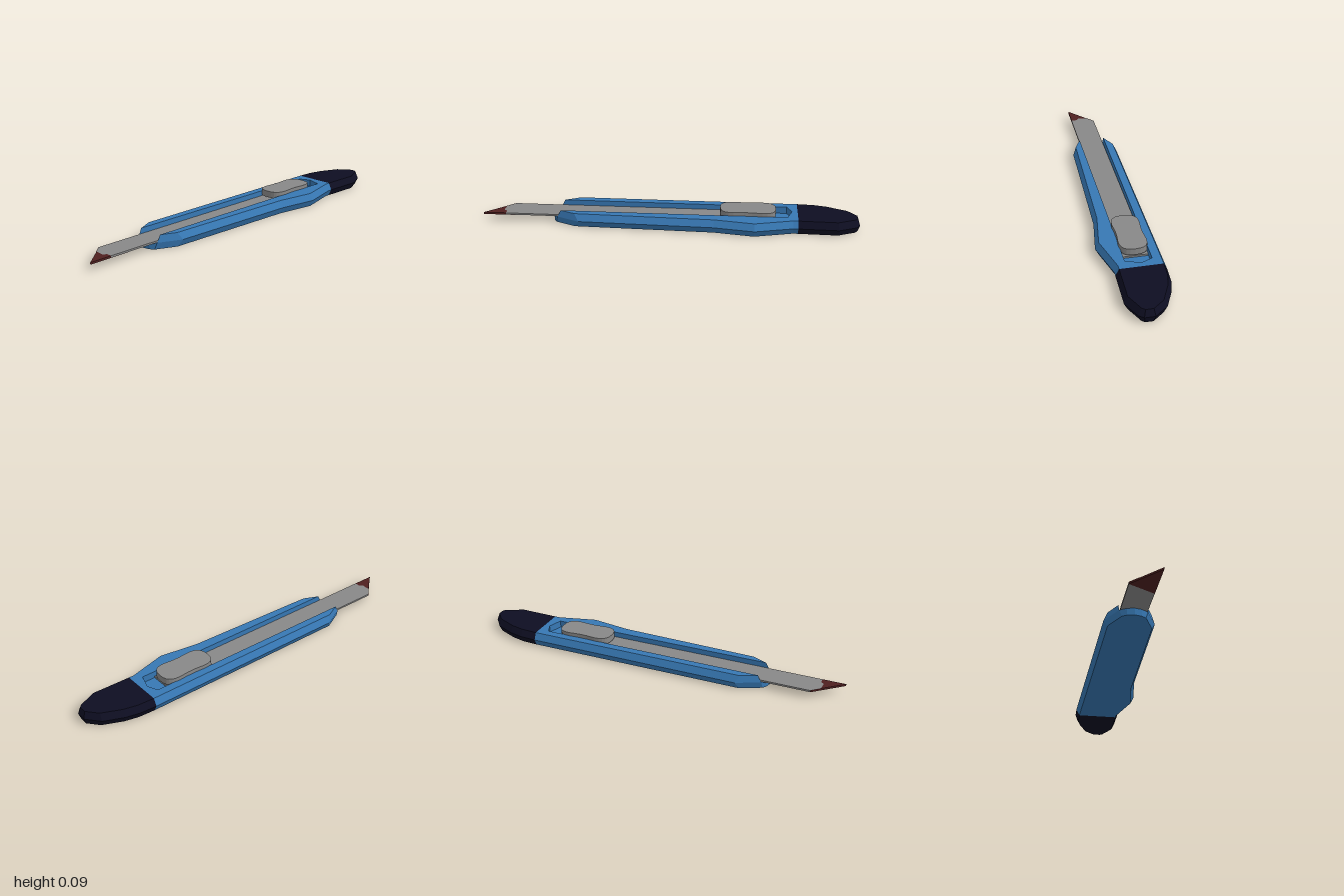
import * as THREE from 'three';

const paint = (name, color) => {
  const m = new THREE.MeshStandardMaterial({ color });
  m.name = name;
  return m;
};

// Move every edge of an outline inward by its own inset (third value of its first point).
function insetOutline(points) {
  const n = points.length;
  const edges = points.map(([x, z, d = 0], i) => {
    const [x2, z2] = points[(i + 1) % n];
    const dx = x2 - x, dv = z - z2, len = Math.hypot(dx, dv);
    const nx = -dv / len, nv = dx / len;
    return { nx, nv, d, c: nx * x - nv * z + d };
  });
  return points.map(([x, z], i) => {
    const a = edges[(i + n - 1) % n], b = edges[i];
    const det = a.nx * b.nv - a.nv * b.nx;
    if (Math.abs(det) < 1e-4) return [x + b.nx * b.d, z - b.nv * b.d];
    return [(a.c * b.nv - b.c * a.nv) / det, -(a.nx * b.c - b.nx * a.c) / det];
  });
}

// Flat-shaded solid through a stack of [y, outline] rings, counter-clockwise from above.
function loft(rings) {
  const pos = [];
  const put = ([y, o], i) => pos.push(o[i][0], y, o[i][1]);
  for (let r = 0; r + 1 < rings.length; r++) {
    const a = rings[r], b = rings[r + 1], n = a[1].length;
    for (let i = 0; i < n; i++) {
      const j = (i + 1) % n;
      put(a, i); put(a, j); put(b, j);
      put(a, i); put(b, j); put(b, i);
    }
  }
  const cap = (ring, flip) => {
    const contour = ring[1].map(([x, z]) => new THREE.Vector2(x, -z));
    for (const f of THREE.ShapeUtils.triangulateShape(contour, []))
      (flip ? [f[2], f[1], f[0]] : f).forEach((i) => put(ring, i));
  };
  cap(rings[0], true);
  cap(rings[rings.length - 1], false);
  const g = new THREE.BufferGeometry();
  g.setAttribute('position', new THREE.Float32BufferAttribute(pos, 3));
  g.computeVertexNormals();
  return g;
}

export function createModel() {
  const blue = paint('handle blue', 0x3778b4);
  const navy = paint('end cap navy', 0x0e0e22);
  const grey = paint('steel grey', 0x888888);
  const red = paint('edge dark red', 0x4f2020);

  const model = new THREE.Group();
  model.name = 'utilityKnife';
  const add = (name, material, rings) => {
    const mesh = new THREE.Mesh(loft(rings), material);
    mesh.name = name;
    model.add(mesh);
  };
  const slab = (name, material, outline, y0, y1) => add(name, material, [[y0, outline], [y1, outline]]);

  const MID = 0.036, TOP = 0.073, B = 0.018, T = 0.008, SEAM = -0.675;

  // Handle: outer side shared by the lower shell and the slotted upper shell
  const rightSide = [
    [0.045, 0.6, T], [0.1, 0.48, B], [0.12, -0.235, B], [0.153, -0.447, B],
    [0.1, -0.65, B], [0.1, SEAM, 0], [-0.153, SEAM, B],
  ];
  const leftFront = [[-0.153, 0.48, T], [-0.095, 0.6, 0]];
  const lower = [...leftFront, [-0.06, 0.622], [-0.025, 0.63], [0.01, 0.622], ...rightSide];
  const upper = [...leftFront, [-0.091, -0.62], [-0.035, -0.645], [0.043, -0.62], ...rightSide];
  add('handleLower', blue, [[0, insetOutline(lower)], [MID, lower]]);
  add('handleUpper', blue, [[MID, upper], [TOP, insetOutline(upper)]]);

  // Rounded end cap with the same bevelled rim
  const capOutline = [
    [-0.153, SEAM, 0], [0.1, SEAM, B], [0.105, -0.885, B], [0.063, -0.976, 0.014],
    [0.037, -0.998, 0.012], [-0.016, -0.998, 0.014], [-0.085, -0.94, B],
    [-0.13, -0.84, B], [-0.148, -0.765, B],
  ];
  const capInset = insetOutline(capOutline);
  add('endCap', navy, [[0, capInset], [MID, capOutline], [TOP, capInset]]);

  // Blade with a slanted, coloured tip
  const L = -0.09, R = 0.042, Y0 = 0.0365, Y1 = 0.046;
  const bend = [[-0.05, 0.894], [0, 0.897], [0.012, 0.88], [R, 0.88]];
  slab('blade', grey, [[L, -0.55], [L, 0.85], ...bend, [R, -0.55]], Y0, Y1);
  slab('bladeTip', red, [bend[0], [R, 1], ...[...bend].reverse().slice(0, 3)], Y0, Y1);
  slab('bladeTipUnderside', red, [[L, 0.85], [R, 1], [R, 0.78]], Y0 - 0.001, Y0);
  slab('bladeCuttingEdge', red, [[L, 0.85], [L, 0.852], [-0.05, 0.896], [-0.05, 0.894]], Y0, Y1);

  // Thumb slider: rounded ends and a slight waist
  const slider = [];
  const N = 12;
  for (const side of [1, -1]) {
    for (let i = 0; i <= N; i++) {
      const a = (i / N) * Math.PI;
      const c = Math.cos(a), s = Math.max(0, Math.sin(a));
      slider.push([
        -0.024 - side * 0.071 * Math.sign(c) * Math.abs(c) ** 0.75,
        -0.4125 + side * (0.075 + 0.0725 * s ** 0.75),
      ]);
    }
    slider.push([-0.024 + side * 0.066, -0.4125 + side * 0.02]);
    slider.push([-0.024 + side * 0.066, -0.4125 - side * 0.02]);
  }
  slab('thumbSlider', grey, slider, 0.058, 0.093);

  return model;
}
